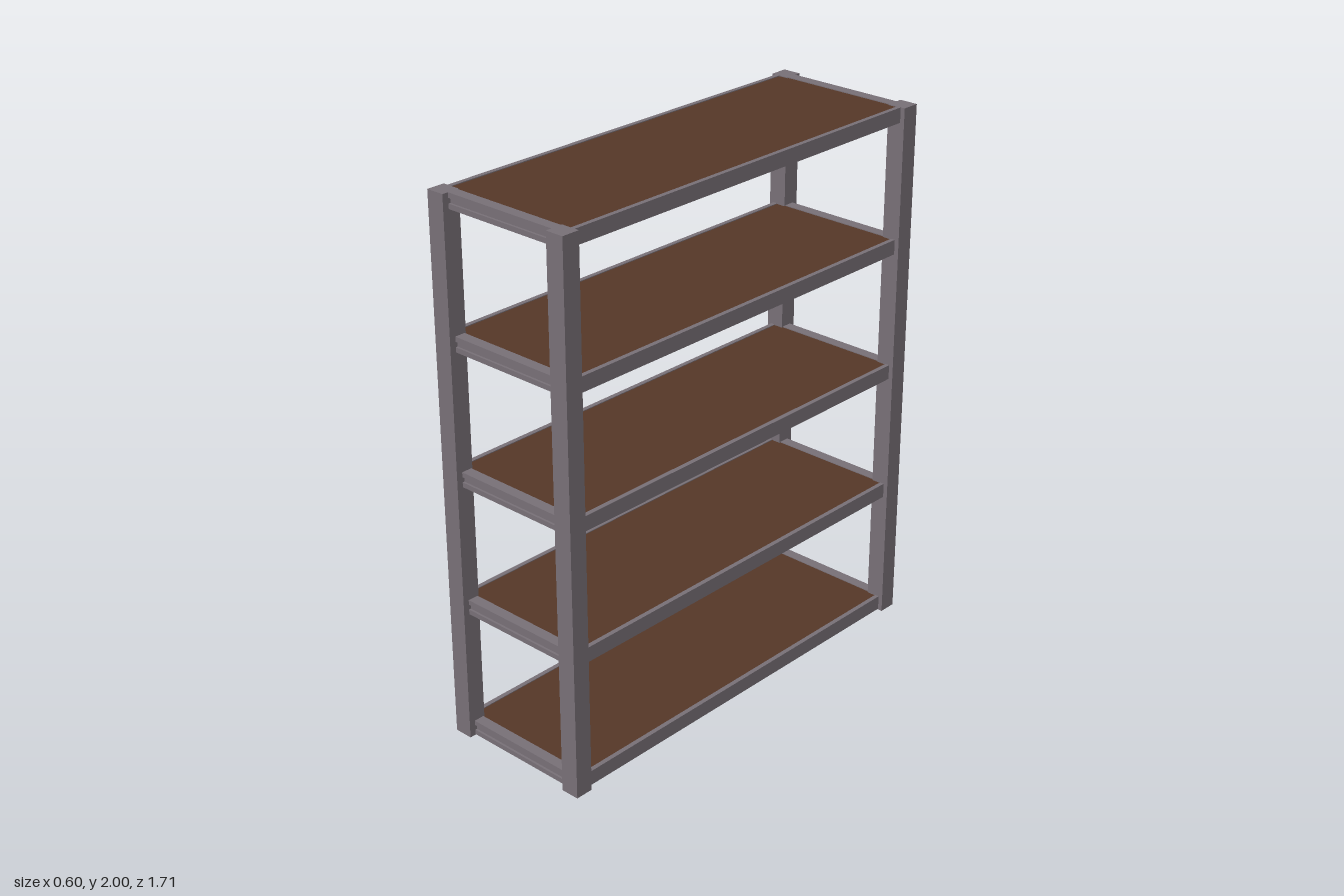
import * as THREE from 'three';

export function createModel() {
  const model = new THREE.Group();
  const metal = new THREE.MeshStandardMaterial({ color: 0x7a7279 });
  const wood = new THREE.MeshStandardMaterial({ color: 0x573828 });

  function box(parent, name, material, size, pos) {
    const mesh = new THREE.Mesh(new THREE.BoxGeometry(...size), material);
    mesh.position.set(...pos);
    mesh.name = name;
    parent.add(mesh);
  }

  // Corner posts
  for (const sx of [-1, 1]) {
    for (const sz of [-1, 1]) {
      box(model, 'cornerPost', metal, [0.07, 2, 0.068], [sx * 0.263, 1, sz * 0.819]);
    }
  }

  // End beam section with a shallow groove along its outer face
  const beamHeight = 0.055, beamLength = 0.46;
  const section = new THREE.Shape([
    [0, 0], [0.04, 0], [0.04, 0.018], [0.032, 0.018],
    [0.032, 0.037], [0.04, 0.037], [0.04, beamHeight], [0, beamHeight],
  ].map(([x, y]) => new THREE.Vector2(x, y)));
  const endBeam = new THREE.ExtrudeGeometry(section, { depth: beamLength, bevelEnabled: false });
  endBeam.translate(0, 0, -beamLength / 2);
  endBeam.rotateY(-Math.PI / 2);

  // Five shelves: side rails, end beams, metal tray and wooden board
  for (let i = 0; i < 5; i++) {
    const shelf = new THREE.Group();
    shelf.name = 'shelf' + (i + 1);
    shelf.position.y = 0.003 + i * 0.4855;
    for (const s of [-1, 1]) {
      box(shelf, 'sideRail', metal, [0.017, beamHeight, 1.57], [s * 0.2725, beamHeight / 2, 0]);
      const beam = new THREE.Mesh(endBeam, metal);
      beam.name = 'endBeam';
      beam.position.z = s * 0.79;
      if (s < 0) beam.rotation.y = Math.PI;
      shelf.add(beam);
    }
    box(shelf, 'tray', metal, [0.528, 0.036, 1.58], [0, 0.018, 0]);
    box(shelf, 'board', wood, [0.528, 0.016, 1.58], [0, 0.044, 0]);
    model.add(shelf);
  }
  return model;
}
